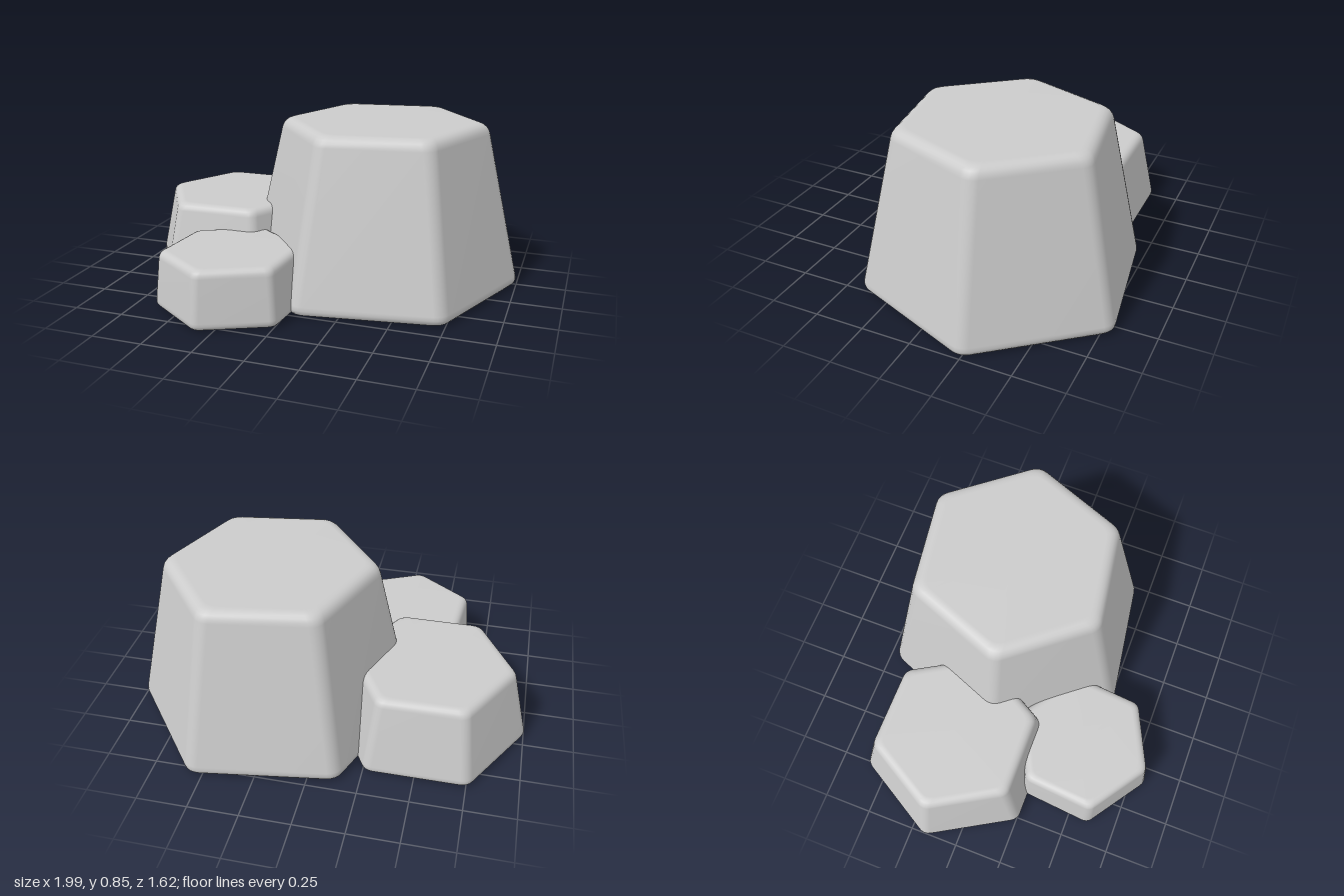
import * as THREE from 'three';

const COS30 = Math.cos(Math.PI / 6);
const ARC_STEPS = 4;

// One level of a rock: a hexagon of given apothem with rounded corners
function hexRing(apothem, y, cornerRadius, turn) {
  const points = [];
  const reach = (apothem - cornerRadius) / COS30;
  for (let k = 0; k < 6; k++) {
    const corner = turn + (k * Math.PI) / 3;
    for (let s = 0; s <= ARC_STEPS; s++) {
      const a = corner + (s / ARC_STEPS - 0.5) * (Math.PI / 3);
      points.push(
        Math.cos(corner) * reach + Math.cos(a) * cornerRadius,
        y,
        Math.sin(corner) * reach + Math.sin(a) * cornerRadius
      );
    }
  }
  return points;
}

// Tapered hexagonal block with softened edges all round
function rockGeometry({ bottom, top, height, turn, bevel, corner }) {
  const a0 = bottom * COS30;
  const a1 = top * COS30;
  const slope = new THREE.Vector2(a1 - a0, height).normalize().multiplyScalar(bevel);

  // Side profile from the underside edge to the top edge
  const lower = new THREE.QuadraticBezierCurve(
    new THREE.Vector2(a0 - bevel, 0),
    new THREE.Vector2(a0, 0),
    new THREE.Vector2(a0 + slope.x, slope.y)
  );
  const upper = new THREE.QuadraticBezierCurve(
    new THREE.Vector2(a1 - slope.x, height - slope.y),
    new THREE.Vector2(a1, height),
    new THREE.Vector2(a1 - bevel, height)
  );
  const profile = [...lower.getPoints(5), ...upper.getPoints(5)];

  const n = 6 * (ARC_STEPS + 1);
  const positions = profile.flatMap((p) => hexRing(p.x, p.y, corner, turn));
  const base = profile.length * n;
  positions.push(0, 0, 0, 0, height, 0);

  const index = [];
  const last = (profile.length - 1) * n;
  for (let j = 0; j < n; j++) {
    const k = (j + 1) % n;
    for (let i = 0; i < last; i += n) {
      index.push(i + j, i + n + j, i + k, i + k, i + n + j, i + n + k);
    }
    index.push(base, j, k); // underside
    index.push(base + 1, last + k, last + j); // top
  }

  const geometry = new THREE.BufferGeometry();
  geometry.setAttribute('position', new THREE.Float32BufferAttribute(positions, 3));
  geometry.setIndex(index);
  geometry.computeVertexNormals();
  return geometry;
}

export function createModel() {
  const group = new THREE.Group();
  group.name = 'rockCluster';
  const stone = new THREE.MeshStandardMaterial({ color: 0xcccccc });

  const rocks = [
    { name: 'largeRock', x: 0.3, z: -0.145, bottom: 0.725, top: 0.53, height: 0.85, turn: -8.5, bevel: 0.055, corner: 0.08 },
    { name: 'mediumRock', x: -0.51, z: -0.175, bottom: 0.507, top: 0.415, height: 0.4, turn: 0, bevel: 0.04, corner: 0.06 },
    { name: 'smallRock', x: -0.3, z: 0.445, bottom: 0.385, top: 0.355, height: 0.29, turn: 35, bevel: 0.04, corner: 0.05 },
  ];

  for (const rock of rocks) {
    const turn = THREE.MathUtils.degToRad(rock.turn);
    const mesh = new THREE.Mesh(rockGeometry({ ...rock, turn }), stone);
    mesh.name = rock.name;
    mesh.position.set(rock.x, 0, rock.z);
    group.add(mesh);
  }
  return group;
}
